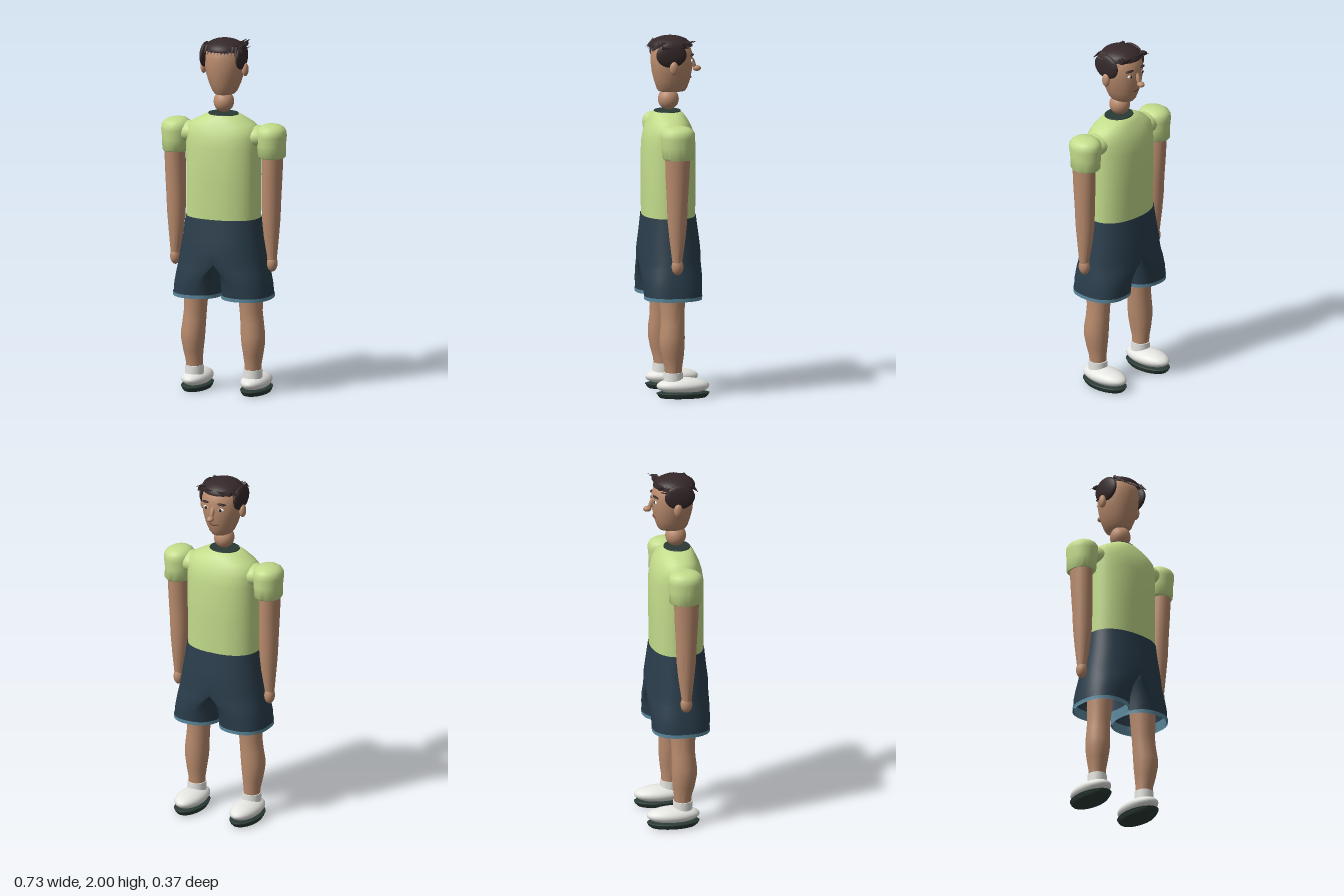
import * as THREE from 'three';
import { toCreasedNormals } from 'three/addons/utils/BufferGeometryUtils.js';

function mat(name, color, side = THREE.FrontSide) {
  const m = new THREE.MeshStandardMaterial({ color, side });
  m.name = name;
  return m;
}

// Signed power, for squarer ellipses
const sp = (v, e) => Math.sign(v) * Math.abs(v) ** e;

// Rings of points from the bottom up, joined by quads, with optional flat caps
function skin(rings, cap = true, flip = false) {
  const n = rings[0].length, pos = rings.flat(2), idx = [];
  const tri = (a, b, c) => (flip ? idx.push(a, c, b) : idx.push(a, b, c));
  for (let r = 0; r < rings.length - 1; r++)
    for (let i = 0; i < n; i++) {
      const j = (i + 1) % n, a = r * n + i, b = r * n + j;
      tri(a, a + n, b);
      tri(b, a + n, b + n);
    }
  if (cap) {
    for (const [k, top] of [[0, false], [rings.length - 1, true]]) {
      const c = pos.length / 3, ring = rings[k];
      for (let d = 0; d < 3; d++) pos.push(ring.reduce((s, p) => s + p[d], 0) / n);
      for (let i = 0; i < n; i++) {
        const a = k * n + i, b = k * n + (i + 1) % n;
        top ? tri(a, c, b) : tri(a, b, c);
      }
    }
  }
  const g = new THREE.BufferGeometry();
  g.setAttribute('position', new THREE.Float32BufferAttribute(pos, 3));
  g.setIndex(idx);
  return toCreasedNormals(g, 0.95);
}

// Loft through rows of [y, xMin, xMax, zMin, zMax]; side -1 mirrors the rows
function loft(rows, { side = 1, power = 1, cap = true, n = 40 } = {}) {
  return skin(rows.map(([y, x0, x1, z0, z1]) => Array.from({ length: n }, (_, i) => {
    const a = i / n * Math.PI * 2;
    return [side * (x0 + x1) / 2 + (x1 - x0) / 2 * sp(Math.cos(a), power), y,
      (z0 + z1) / 2 + (z1 - z0) / 2 * sp(Math.sin(a), power)];
  })), cap);
}

export function createModel() {
  const model = new THREE.Group();
  const M = {
    skin: mat('skin', 0xb98b6d),
    shirt: mat('shirt green', 0xc3dc8b),
    shorts: mat('shorts navy', 0x2a3d4b, THREE.DoubleSide),
    trim: mat('hem blue', 0x5c8a9f, THREE.DoubleSide),
    hair: mat('hair brown', 0x35282a, THREE.DoubleSide),
    dark: mat('sole and collar', 0x2a3a35),
    white: mat('white', 0xe6e6e2),
    lip: mat('lips', 0x6e4035),
  };
  const add = (name, geo, m) => {
    const mesh = new THREE.Mesh(geo, m);
    mesh.name = name;
    model.add(mesh);
    return mesh;
  };
  const ball = (name, m, [x, y, z], [rx, ry, rz]) => {
    const b = add(name, new THREE.SphereGeometry(1, 28, 18), m);
    b.position.set(x, y, z);
    b.scale.set(rx, ry, rz);
    return b;
  };
  // Tapered hair strand from p to q
  const strand = (p, q, r) => {
    const a = new THREE.Vector3(...p), b = new THREE.Vector3(...q);
    const s = add('hairStrand', new THREE.ConeGeometry(r, a.distanceTo(b), 6), M.hair);
    s.position.copy(a).lerp(b, 0.5);
    s.quaternion.setFromUnitVectors(new THREE.Vector3(0, 1, 0), b.sub(a).normalize());
  };

  // Torso, collar and neck
  add('shirtBody', loft([
    [1.0, -0.21, 0.21, -0.13, 0.16], [1.2, -0.21, 0.21, -0.133, 0.162], [1.4, -0.212, 0.212, -0.133, 0.16],
    [1.46, -0.212, 0.212, -0.122, 0.15], [1.5, -0.208, 0.208, -0.108, 0.137], [1.53, -0.18, 0.18, -0.092, 0.123],
    [1.555, -0.135, 0.135, -0.076, 0.111], [1.578, -0.09, 0.09, -0.056, 0.095],
  ], { power: 0.88 }), M.shirt);
  add('collar', loft([[1.574, -0.088, 0.088, -0.056, 0.095], [1.583, -0.084, 0.084, -0.053, 0.092]]), M.dark);
  ball('neck', M.skin, [0, 1.645, 0.013], [0.057, 0.06, 0.058]);

  // Head
  add('head', loft([
    [1.69, -0.055, 0.055, -0.08, 0.068], [1.705, -0.068, 0.068, -0.091, 0.078], [1.75, -0.088, 0.088, -0.107, 0.093],
    [1.8, -0.103, 0.103, -0.117, 0.105], [1.85, -0.113, 0.113, -0.122, 0.111], [1.9, -0.113, 0.113, -0.12, 0.111],
    [1.94, -0.103, 0.103, -0.107, 0.103], [1.965, -0.082, 0.082, -0.086, 0.085], [1.982, -0.05, 0.05, -0.05, 0.05],
  ]), M.skin);
  ball('noseTip', M.skin, [0, 1.812, -0.147], [0.019, 0.016, 0.023]);
  const bridge = ball('noseBridge', M.skin, [0, 1.842, -0.126], [0.012, 0.036, 0.013]);
  bridge.rotation.x = 0.3;
  ball('mouth', M.lip, [0, 1.765, -0.108], [0.03, 0.006, 0.008]);

  // Hair: crown, fringe and loose strands
  const crown = add('hairCrown', new THREE.SphereGeometry(1, 36, 12, 0, Math.PI * 2, 0, Math.PI / 2), M.hair);
  crown.position.set(0, 1.94, 0.004);
  crown.scale.set(0.112, 0.06, 0.117);
  const fringe = add('hairFringe', new THREE.BoxGeometry(0.2, 0.016, 0.03), M.hair);
  fringe.position.set(0.003, 1.957, -0.088);
  for (let i = 0; i < 11; i++) {
    const x = -0.1 + i * 0.02;
    strand([x * 0.95, 1.965, 0.075], [x, 1.925, 0.122], 0.011);
  }
  for (let i = 0; i < 4; i++) {
    const x = 0.085 + i * 0.011;
    strand([x, 1.965 - i * 0.006, 0.07], [x - 0.004, 1.962 - i * 0.007, -0.103], 0.01);
    strand([-x + 0.004, 1.96 - i * 0.006, -0.02], [-x - 0.004, 1.955 - i * 0.005, -0.1], 0.009);
  }
  for (const x of [0.075, 0.095]) strand([x, 1.968, -0.07], [x + 0.012, 1.978, -0.135 + x * 0.1], 0.006);

  for (const side of [1, -1]) {
    const tag = side > 0 ? 'left' : 'right';

    // Face details and side hair
    ball(tag + 'Ear', M.skin, [side * 0.122, 1.832, 0.003], [0.018, 0.038, 0.024]);
    ball(tag + 'SideHair', M.hair, [side * 0.106, 1.905, 0.015], [0.022, 0.07, 0.085]);
    ball(tag + 'Eye', M.white, [side * 0.045, 1.862, -0.109], [0.02, 0.01, 0.008]);
    ball(tag + 'Iris', M.hair, [side * 0.045, 1.862, -0.115], [0.008, 0.009, 0.005]);
    const brow = ball(tag + 'Brow', M.hair, [side * 0.05, 1.895, -0.11], [0.025, 0.006, 0.011]);
    brow.rotation.set(0, side * -0.35, side * -0.1);

    // Puffed sleeve and the shoulder that joins it
    add(tag + 'Sleeve', loft([
      [1.35, 0.212, 0.354, -0.072, 0.088], [1.358, 0.205, 0.358, -0.08, 0.096], [1.42, 0.2, 0.358, -0.08, 0.1],
      [1.47, 0.195, 0.363, -0.085, 0.107], [1.495, 0.197, 0.361, -0.084, 0.106], [1.513, 0.206, 0.35, -0.074, 0.094],
      [1.526, 0.222, 0.33, -0.055, 0.075], [1.534, 0.245, 0.3, -0.025, 0.04],
    ], { side }), M.shirt);
    ball(tag + 'Shoulder', M.shirt, [side * 0.19, 1.462, 0.013], [0.09, 0.06, 0.078]);

    // Arm and hand
    add(tag + 'Arm', loft([
      [0.74, 0.262, 0.308, -0.006, 0.038], [0.8, 0.255, 0.313, -0.016, 0.046], [0.9, 0.238, 0.322, -0.03, 0.058],
      [1.0, 0.228, 0.33, -0.04, 0.068], [1.1, 0.226, 0.334, -0.043, 0.072], [1.25, 0.228, 0.341, -0.052, 0.08],
      [1.4, 0.232, 0.346, -0.058, 0.085],
    ], { side, n: 28 }), M.skin);
    ball(tag + 'Hand', M.skin, [side * 0.285, 0.75, 0.014], [0.029, 0.048, 0.033]);

    // Half of the shorts: a D-shaped hip section that becomes a round trouser leg
    const leg = ([y, w, z0, z1, t], grow = 0) => Array.from({ length: 48 }, (_, i) => {
      const a = i / 48 * Math.PI * 2, c = sp(Math.cos(a), 0.85), s = sp(Math.sin(a), 0.85);
      const hip = Math.max(0, w * c), tube = w * (0.505 + 0.495 * c);
      return [side * (hip + (tube - hip) * t + grow * c), y, (z0 + z1) / 2 + ((z1 - z0) / 2 + grow) * s];
    });
    const hips = [
      [0.555, 0.28, -0.145, 0.17, 1], [0.62, 0.275, -0.15, 0.175, 0.9], [0.68, 0.265, -0.155, 0.18, 0.6],
      [0.72, 0.257, -0.157, 0.183, 0.25], [0.75, 0.252, -0.158, 0.185, 0], [0.82, 0.24, -0.157, 0.184, 0],
      [0.9, 0.226, -0.147, 0.174, 0], [1.002, 0.212, -0.133, 0.163, 0],
    ];
    add(tag + 'ShortsHalf', skin(hips.map(h => leg(h)), false, side < 0), M.shorts);
    add(tag + 'Hem', skin([
      leg([0.548, 0.281, -0.145, 0.17, 1], 0.002), leg([0.568, 0.281, -0.146, 0.171, 1], 0.002),
    ], false, side < 0), M.trim);
    add(tag + 'HemLining', skin([
      leg([0.55, 0.278, -0.142, 0.167, 1], -0.003), leg([0.6, 0.274, -0.143, 0.168, 0.95], -0.006),
    ], false, side < 0), M.trim);

    // Leg, sock and shoe
    add(tag + 'Leg', loft([
      [0.1, 0.125, 0.218, -0.03, 0.062], [0.17, 0.126, 0.22, -0.032, 0.066], [0.23, 0.12, 0.232, -0.04, 0.083],
      [0.29, 0.112, 0.242, -0.045, 0.094], [0.34, 0.108, 0.243, -0.046, 0.095], [0.41, 0.104, 0.234, -0.045, 0.087],
      [0.47, 0.1, 0.227, -0.046, 0.086], [0.55, 0.092, 0.228, -0.052, 0.093], [0.75, 0.075, 0.225, -0.06, 0.105],
    ], { side, n: 28 }), M.skin);
    add(tag + 'Sock', loft([[0.07, 0.12, 0.224, -0.038, 0.07], [0.142, 0.12, 0.224, -0.038, 0.07]], { side, n: 28 }), M.white);
    ball(tag + 'Shoe', M.white, [side * 0.173, 0.065, -0.037], [0.078, 0.046, 0.148]);
    ball(tag + 'SoleRim', M.dark, [side * 0.174, 0.025, -0.037], [0.081, 0.014, 0.149]);
    add(tag + 'Sole', loft([
      [0.0, 0.105, 0.243, -0.165, 0.09], [0.012, 0.098, 0.25, -0.178, 0.103], [0.024, 0.096, 0.252, -0.184, 0.108],
    ], { side }), M.dark);
  }
  return model;
}
